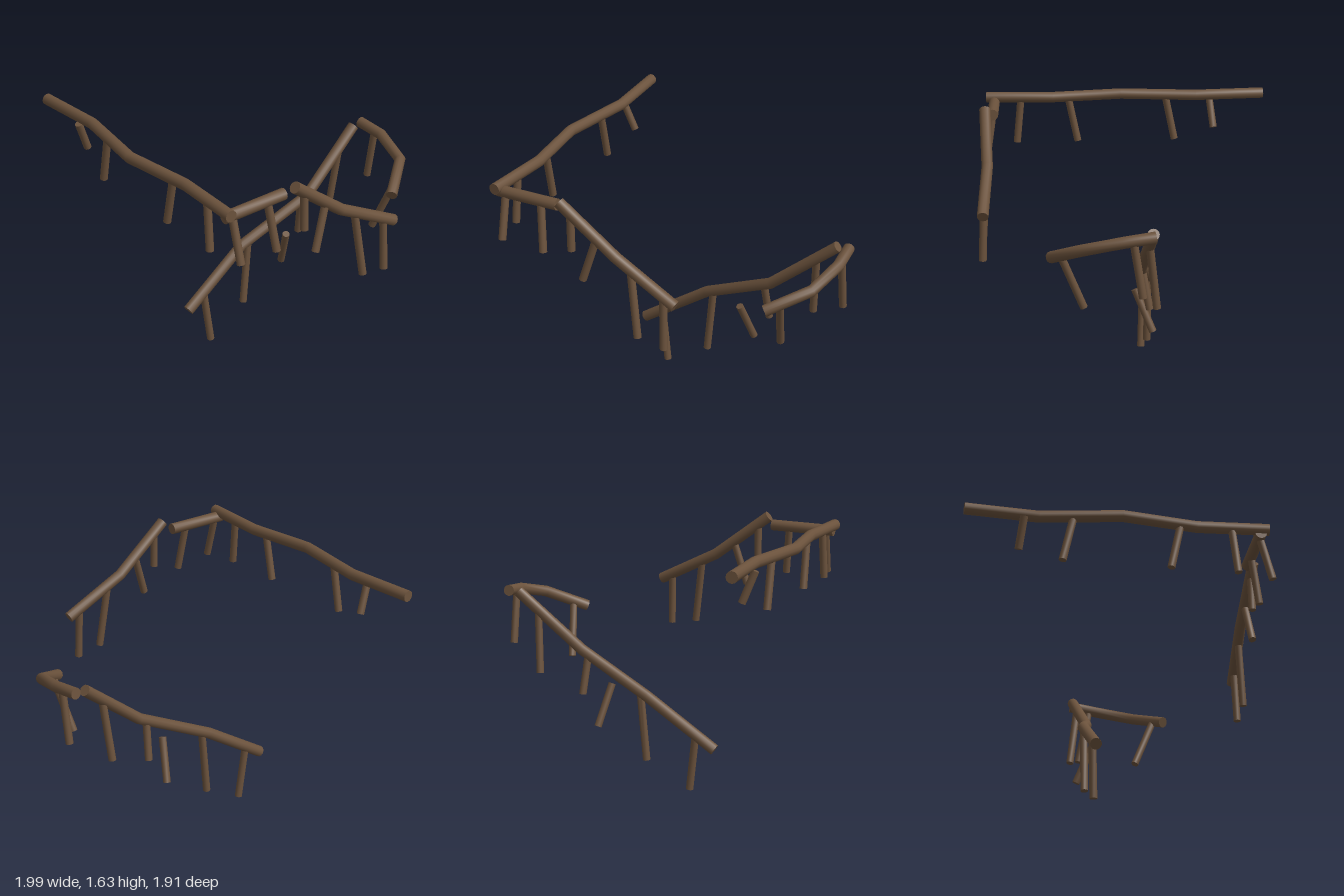
import * as THREE from 'three';
import { toCreasedNormals } from 'three/addons/utils/BufferGeometryUtils.js';

const RAIL_RADIUS = 0.036;
const POST_RADIUS = 0.024;
const vec = (p) => new THREE.Vector3(...p);

// Round log that follows a list of points, with mitred bends and flat ends
function logGeometry(pts, radius) {
  const n = pts.length - 1;
  const frames = pts.map((p, i) => {
    const before = p.clone().sub(pts[Math.max(i - 1, 0)]).normalize();
    const after = pts[Math.min(i + 1, n)].clone().sub(p).normalize();
    const t = before.add(after).normalize();
    const ref = Math.abs(t.y) > 0.85 ? new THREE.Vector3(0, 0, 1) : new THREE.Vector3(0, 1, 0);
    const u = t.clone().cross(ref).normalize();
    return { p, u, v: u.clone().cross(t) };
  });
  const geo = new THREE.CylinderGeometry(radius, radius, 1, 12, n);
  const pos = geo.attributes.position;
  for (let i = 0; i < pos.count; i++) {
    const f = frames[Math.round((pos.getY(i) + 0.5) * n)];
    const q = f.p.clone().addScaledVector(f.u, pos.getX(i)).addScaledVector(f.v, pos.getZ(i));
    pos.setXYZ(i, q.x, q.y, q.z);
  }
  return toCreasedNormals(geo, Math.PI / 3);
}

export function createModel() {
  const wood = new THREE.MeshStandardMaterial({ color: 0x6b523c });
  wood.name = 'brown wood';
  const model = new THREE.Group();
  model.name = 'logFences';

  function addLog(parent, name, pts, radius) {
    const mesh = new THREE.Mesh(logGeometry(pts, radius), wood);
    mesh.name = name;
    parent.add(mesh);
  }

  // A bent rail; each post hangs from bend number + fraction along the rail down to its foot
  function addFence(name, railPoints, posts) {
    const fence = new THREE.Group();
    fence.name = name;
    const rail = railPoints.map(vec);
    addLog(fence, 'rail', rail, RAIL_RADIUS);
    for (const [at, ...foot] of posts) {
      const k = Math.floor(at);
      const top = rail[k].clone().lerp(rail[k + 1], at - k);
      addLog(fence, 'post', [top, vec(foot)], POST_RADIUS);
    }
    model.add(fence);
    return fence;
  }

  // High fence along the right side, with one post leaning across under the rail
  const sideFence = addFence(
    'longSideFence',
    [[-0.92, 1.58, 0.905], [-0.9, 1.58, 0.46], [-0.963, 1.585, 0], [-0.89, 1.587, -0.5], [-0.925, 1.59, -0.955]],
    [[0.52, -0.92, 1.27, 0.705], [1.22, -0.92, 1.275, 0.295], [2.59, -0.92, 1.28, -0.36]],
  );
  addLog(sideFence, 'leaningPost', [vec([-0.93, 1.56, -0.595]), vec([-0.86, 1.37, -0.62])], POST_RADIUS);

  // Short level fence at the front corner
  addFence(
    'shortFrontFence',
    [[-0.93, 1.55, 0.852], [-0.508, 1.557, 0.852]],
    [[0.13, -0.87, 1.265, 0.925], [0.72, -0.595, 1.24, 0.9]],
  );

  // Fence sloping down across the front
  addFence(
    'frontSlopeFence',
    [[-0.467, 1.604, 0.9], [-0.1, 1.325, 0.88], [0.305, 1.12, 0.9]],
    [[0.2, -0.393, 1.305, 0.9], [0.66, -0.315, 1.135, 0.91], [1.25, 0.057, 0.845, 0.915], [1.8, 0.232, 0.815, 0.91]],
  );

  // Long climbing fence in the middle, with one loose post
  const stairFence = addFence(
    'stairFence',
    [[-0.497, 0.286, -0.107], [-0.045, 0.59, -0.133], [0.445, 0.825, -0.06], [0.872, 1.177, -0.107]],
    [[0.28, -0.328, 0.003, -0.102], [1.1, -0.04, 0.165, -0.125], [1.9, 0.415, 0.545, -0.115], [2.69, 0.708, 0.66, -0.14]],
  );
  addLog(stairFence, 'loosePost', [vec([0.245, 0.615, -0.032]), vec([0.295, 0.35, -0.143])], POST_RADIUS);

  // Fence curving round the left side
  addFence(
    'curvedFence',
    [[0.94, 1.18, -0.117], [0.957, 1.157, 0.07], [0.9, 1.093, 0.318], [0.675, 0.98, 0.49]],
    [[0.7, 0.95, 0.815, -0.042], [2.67, 0.695, 0.67, 0.297]],
  );

  return model;
}
